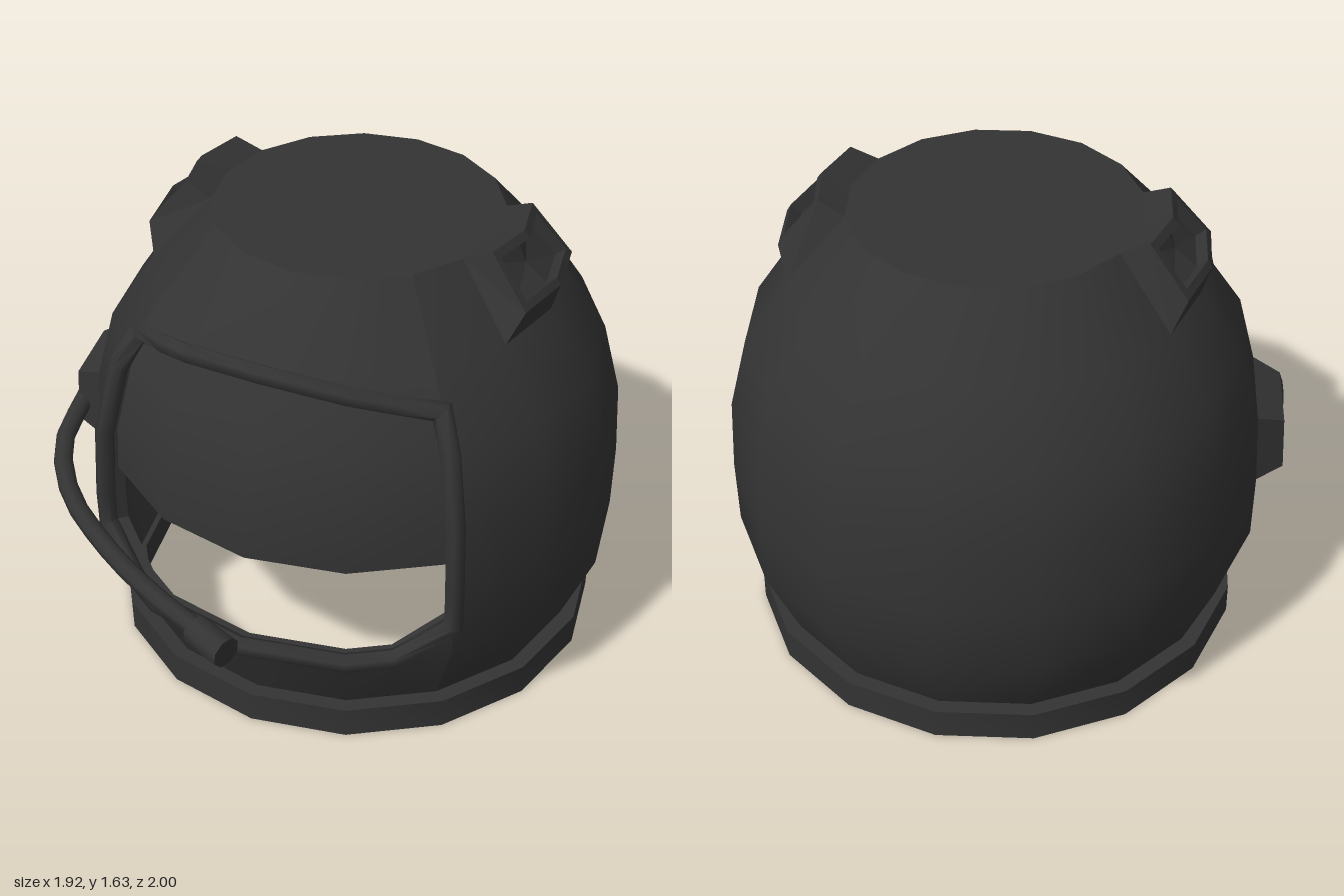
import * as THREE from 'three';
import { toCreasedNormals } from 'three/addons/utils/BufferGeometryUtils.js';

const CX = 0.04, CZ = -0.08, STEP = 22.5;
const V = (x, y, z) => new THREE.Vector3(x, y, z);
const material = new THREE.MeshStandardMaterial({ color: 0x333333, side: THREE.DoubleSide });

// Shell profile: [radius, height]
const PROFILE = [[0.8, 0.11], [0.915, 0.38], [0.92, 0.62], [0.908, 0.88], [0.845, 1.13], [0.7, 1.35], [0.49, 1.59]];

function radiusAt(y) {
  let i = 0;
  while (i < PROFILE.length - 2 && y > PROFILE[i + 1][1]) i++;
  const [r0, y0] = PROFILE[i], [r1, y1] = PROFILE[i + 1];
  return r0 + (r1 - r0) * (y - y0) / (y1 - y0);
}

// Point on the 16-sided shell; angle in degrees from +z towards +x, inset inwards
function surf(angle, y, inset = 0) {
  const rad = THREE.MathUtils.degToRad;
  const within = THREE.MathUtils.euclideanModulo(angle, STEP) - STEP / 2;
  const r = (radiusAt(y) - inset) * Math.cos(rad(STEP / 2)) / Math.cos(rad(within));
  return V(CX + r * Math.sin(rad(angle)), y, CZ + r * Math.cos(rad(angle)));
}

// Skin of quads between successive rows of points
function skin(rows, { closed = false, cap = false, crease = 0.7 } = {}) {
  const pos = [];
  const tri = (a, b, c) => {
    if (b.clone().sub(a).cross(c.clone().sub(a)).length() > 1e-7) pos.push(...a, ...b, ...c);
  };
  for (let i = 0; i < rows.length - 1; i++) {
    const p = rows[i], q = rows[i + 1], n = p.length;
    for (let j = 0; j < (closed ? n : n - 1); j++) {
      const k = (j + 1) % n;
      tri(p[j], p[k], q[k]);
      tri(p[j], q[k], q[j]);
    }
  }
  if (cap) {
    const last = rows[rows.length - 1];
    const mid = last.reduce((s, p) => s.add(p), V(0, 0, 0)).divideScalar(last.length);
    last.forEach((p, j) => tri(p, last[(j + 1) % last.length], mid));
  }
  const geo = new THREE.BufferGeometry();
  geo.setAttribute('position', new THREE.Float32BufferAttribute(pos, 3));
  return toCreasedNormals(geo, crease);
}

// Tube along a closed loop, mitred at corners, aligned to the shell
function frameTube(points, radius, sides) {
  const n = points.length;
  const rows = points.map((p, i) => {
    const before = p.clone().sub(points[(i + n - 1) % n]).normalize();
    const after = points[(i + 1) % n].clone().sub(p).normalize();
    const t = before.add(after).normalize();
    const out = V(p.x - CX, 0, p.z - CZ);
    out.addScaledVector(t, -out.dot(t)).normalize();
    const side = t.clone().cross(out).divideScalar(Math.max(0.6, t.dot(after)));
    return Array.from({ length: sides }, (_, k) => {
      const a = (k + 0.5) / sides * Math.PI * 2;
      return p.clone().addScaledVector(out, radius * Math.cos(a)).addScaledVector(side, radius * Math.sin(a));
    });
  });
  return skin([...rows, rows[0]], { closed: true, crease: 1.1 });
}

export function createModel() {
  const group = new THREE.Group();
  const add = (name, geo, parent = group) => {
    const mesh = new THREE.Mesh(geo, material);
    mesh.name = name;
    parent.add(mesh);
    return mesh;
  };

  // Face opening limits, by angle
  const front = [-45, -33, -22.5, 0, 22.5, 33, 45];
  const bottomY = [0.5, 0.38, 0.38, 0.38, 0.38, 0.38, 0.5];
  const topY = [1.25, 1.28, 1.31, 1.335, 1.31, 1.28, 1.25];

  // Shell: full wall round the back, bands under and over the opening
  const around = Array.from({ length: 13 }, (_, i) => 45 + i * STEP);
  add('shellBack', skin(PROFILE.map(([, y]) => around.map(a => surf(a, y)))));
  add('shellChin', skin([
    front.map(a => surf(a, 0.11)),
    front.map(a => surf(a, 0.38)),
    front.map((a, i) => surf(a, bottomY[i])),
  ]));
  add('shellBrow', skin([
    front.map((a, i) => surf(a, topY[i])),
    front.map(a => surf(a, 1.35)),
    front.map(a => surf(a, 1.59)),
  ]));
  const crown = new THREE.CircleGeometry(0.49, 16).rotateX(-Math.PI / 2);
  add('crown', crown).position.set(CX, 1.59, CZ);

  // Neck ring
  const ringProfile = [[0.78, 0], [0.853, 0], [0.853, 0.11], [0.78, 0.11], [0.78, 0]];
  const ring = new THREE.LatheGeometry(ringProfile.map(p => new THREE.Vector2(...p)), 16);
  add('neckRing', toCreasedNormals(ring, 0.7)).position.set(CX, 0, CZ);

  // Opening rim and the raised frame around it
  const edge = [
    ...front.map((a, i) => [a, topY[i]]),
    [45, 1.13], [45, 0.88], [45, 0.62],
    ...front.map((a, i) => [a, bottomY[i]]).reverse(),
    [-45, 0.62], [-45, 0.88], [-45, 1.13],
  ];
  add('openingRim', skin([0, 0.07].map(d => edge.map(([a, y]) => surf(a, y, d))), { closed: true }));
  add('openingFrame', frameTube(edge.map(([a, y]) => surf(a, y)), 0.034, 6));

  // Half-lowered visor just inside the shell
  const visorRows = [[0.72, 0.08], [0.72, 0.045], [0.88, 0.045], [1.13, 0.045], [1.34, 0.045]];
  const visorAngles = [-45, -22.5, 0, 22.5, 45];
  add('visor', skin(visorRows.map(([y, d]) => visorAngles.map(a => surf(a, y, d)))));

  // Recessed side pads; each level is
  // [x top middle, x top corner, y top, half width top, then the same for the bottom]
  const levels = [
    [0.49, 0.453, 1.59, 0.188, 0.69, 0.637, 1.36, 0.264],
    [0.585, 0.545, 1.63, 0.175, 0.72, 0.68, 1.46, 0.21],
    [0.605, 0.568, 1.605, 0.155, 0.705, 0.668, 1.485, 0.18],
    [0.57, 0.533, 1.575, 0.155, 0.67, 0.633, 1.455, 0.18],
  ];
  const padGeo = skin(levels.map(([tm, tc, ty, tw, bm, bc, by, bw]) => [
    V(tc, ty, tw), V(bc, by, bw), V(bm, by, 0), V(bc, by, -bw), V(tc, ty, -tw), V(tm, ty, 0),
  ]), { closed: true, cap: true, crease: 0.2 });
  for (const [side, name] of [[1, 'leftPad'], [-1, 'rightPad']]) {
    const pad = add(name, padGeo);
    pad.position.set(CX, 0, CZ);
    pad.scale.x = side;
  }

  // Microphone: tapered mount, bent boom, capsule
  const mic = new THREE.Group();
  mic.name = 'microphone';
  group.add(mic);
  const mountLoop = (a0, a1, y0, y1, out) =>
    [[a0, y0], [a1, y0], [a1, y1], [a0, y1]].map(([a, y]) => surf(a, y).add(V(-0.98 * out, 0, 0.195 * out)));
  add('microphoneMount', skin([
    mountLoop(-90, -67.5, 0.62, 0.88, 0),
    mountLoop(-87.5, -70, 0.65, 0.845, 0.092),
  ], { closed: true, cap: true, crease: 0.2 }), mic);

  const boom = new THREE.CatmullRomCurve3([
    V(-0.89, 0.73, 0.22), V(-0.85, 0.67, 0.45), V(-0.75, 0.58, 0.58),
    V(-0.55, 0.51, 0.7), V(-0.3, 0.475, 0.82), V(-0.06, 0.452, 0.905),
  ]);
  add('microphoneBoom', new THREE.TubeGeometry(boom, 12, 0.034, 8), mic);

  const dir = V(0.16, -0.01, 0.055).normalize();
  const capsule = add('microphoneCapsule', toCreasedNormals(new THREE.CylinderGeometry(0.055, 0.055, 0.15, 8), 0.9), mic);
  capsule.position.set(-0.02, 0.447, 0.925);
  capsule.quaternion.setFromUnitVectors(V(0, 1, 0), dir);

  return group;
}
